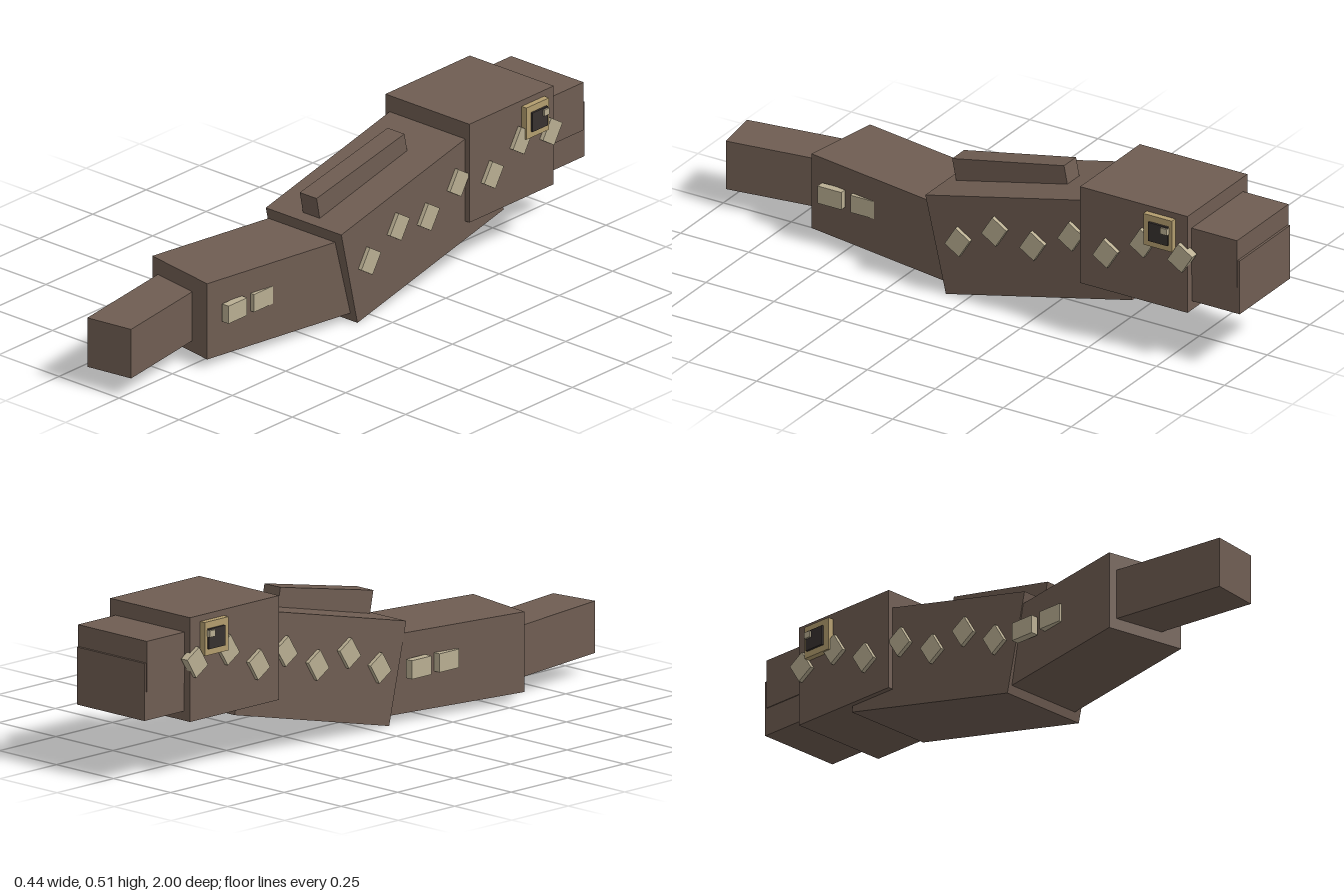
import * as THREE from 'three';

const mat = (name, color) => {
  const m = new THREE.MeshStandardMaterial({ color });
  m.name = name;
  return m;
};

export function createModel() {
  const group = new THREE.Group();
  const hide = mat('brown hide', 0x6f5d52);
  const scale = mat('pale scale', 0xb9ae92);
  const gold = mat('tan eye rim', 0xb39d6e);
  const dark = mat('dark pupil', 0x37312f);
  const rad = THREE.MathUtils.degToRad;
  const midX = 0.013; // symmetry plane of head and body

  // Box by size, centre and rotation in degrees
  const box = (name, m, size, pos, rx = 0, ry = 0) => {
    const mesh = new THREE.Mesh(new THREE.BoxGeometry(...size), m);
    mesh.name = name;
    mesh.position.set(...pos);
    mesh.rotation.set(rad(rx), rad(ry), 0);
    group.add(mesh);
    return mesh;
  };

  // Body and back fin, sloping up towards the head
  box('body', hide, [0.315, 0.333, 0.703], [midX, 0.2475, -0.23], 13.1);
  box('backFin', hide, [0.07, 0.077, 0.42], [midX, 0.415, -0.085], 11.5);

  // Head and snout
  box('head', hide, [0.35, 0.335, 0.395], [midX, 0.3525, -0.6275]);
  box('upperSnout', hide, [0.302, 0.163, 0.2], [midX, 0.3885, -0.892]);
  box('lowerJaw', hide, [0.296, 0.185, 0.2], [midX, 0.3075, -0.9]);

  // Tail, bending sideways
  box('tailBase', hide, [0.274, 0.258, 0.6], [-0.034, 0.163, 0.325], 0, -9.7);
  box('tailTip', hide, [0.163, 0.167, 0.45], [-0.086, 0.1555, 0.763], 0, 8.3);

  // Tilted scales along both flanks: [y, z]
  const flank = [
    [0.203, 0.025], [0.275, -0.11], [0.262, -0.25], [0.332, -0.39],
    [0.318, -0.53], [0.39, -0.665], [0.375, -0.805],
  ];
  for (const side of [1, -1]) {
    flank.forEach(([y, z], i) => {
      const x = midX + side * (i < 4 ? 0.157 : 0.175);
      box('flankScale', scale, [0.028, 0.075, 0.062], [x, y, z], -32);
    });

    // Eye: rim, pupil and glint
    box('eyeRim', gold, [0.03, 0.108, 0.105], [midX + side * 0.18, 0.446, -0.7275]);
    box('pupil', dark, [0.02, 0.065, 0.072], [midX + side * 0.192, 0.4455, -0.732]);
    box('eyeGlint', scale, [0.02, 0.021, 0.024], [midX + side * 0.198, 0.463, -0.757]);
  }

  // Straight scales on the tail
  for (const [x, z] of [[0.0815, 0.55], [0.0815, 0.43], [-0.1715, 0.178], [-0.1715, 0.3]]) {
    box('tailScale', scale, [0.027, 0.06, 0.087], [x, 0.182, z]);
  }

  return group;
}
